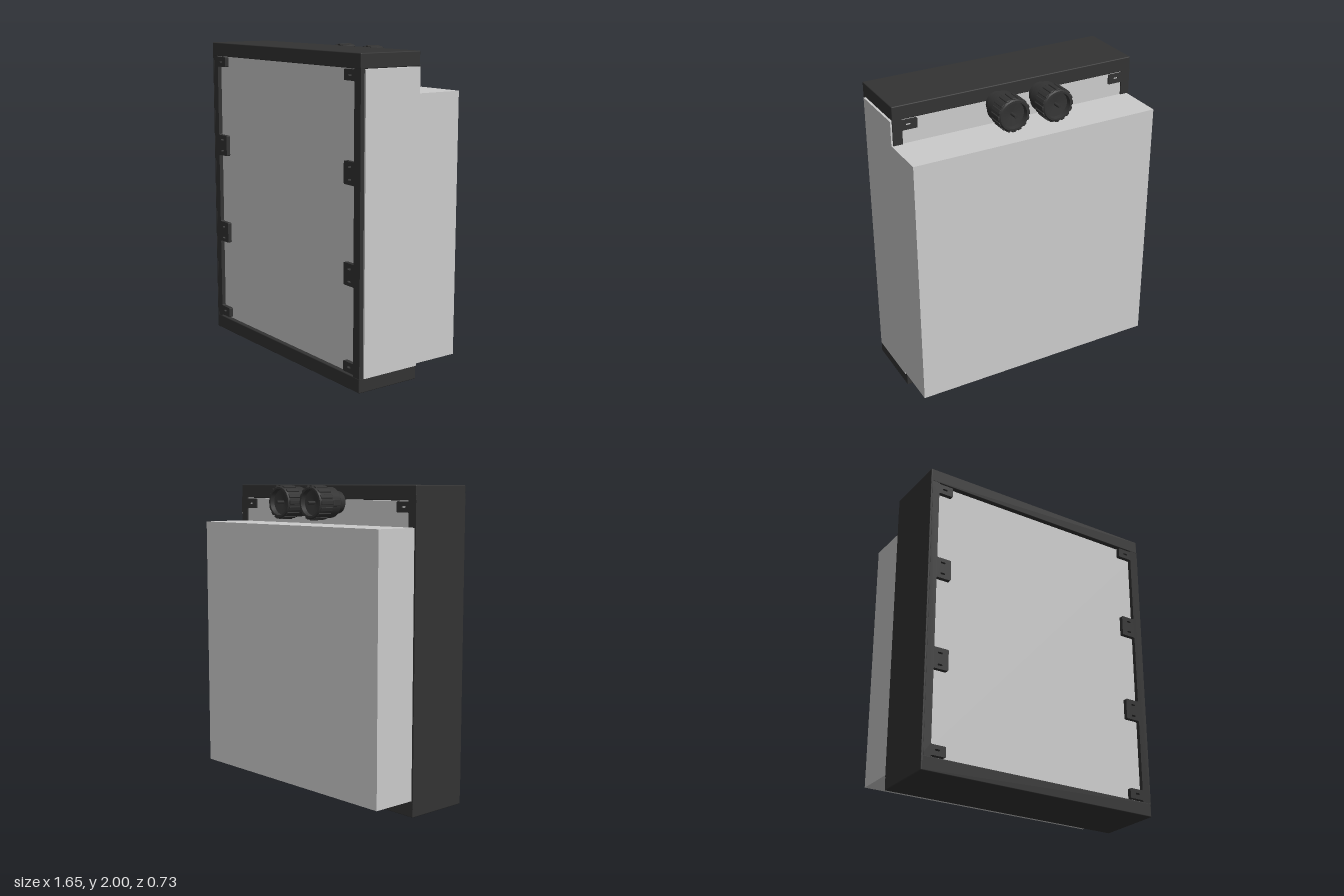
import * as THREE from 'three';
import { RoundedBoxGeometry } from 'three/addons/geometries/RoundedBoxGeometry.js';

const grey = new THREE.MeshStandardMaterial({ color: 0xcccccc });
const dark = new THREE.MeshStandardMaterial({ color: 0x333333 });
const darkOpen = new THREE.MeshStandardMaterial({ color: 0x333333, side: THREE.DoubleSide });

function add(parent, name, geometry, material) {
  const mesh = new THREE.Mesh(geometry, material);
  mesh.name = name;
  parent.add(mesh);
  return mesh;
}

// Box given by its lower and upper corners
function box(parent, name, a, b, material, radius = 0) {
  const size = a.map((v, i) => b[i] - v);
  const geometry = radius ? new RoundedBoxGeometry(...size, 2, radius) : new THREE.BoxGeometry(...size);
  const mesh = add(parent, name, geometry, material);
  mesh.position.set(...a.map((v, i) => (v + b[i]) / 2));
  return mesh;
}

// Closed shape with softened corners
function roundedShape(points, r) {
  const shape = new THREE.Shape();
  const n = points.length;
  points.forEach((p, i) => {
    const prev = points[(i + n - 1) % n], next = points[(i + 1) % n];
    const start = p.clone().add(prev.clone().sub(p).setLength(r));
    const end = p.clone().add(next.clone().sub(p).setLength(r));
    if (i === 0) shape.moveTo(start.x, start.y);
    else shape.lineTo(start.x, start.y);
    shape.quadraticCurveTo(p.x, p.y, end.x, end.y);
  });
  shape.closePath();
  return shape;
}

// Upright mounting strip with slotted tabs; side is -1 or 1
function mountingStrip(side, depth) {
  const outer = 0.822, inner = 0.762, tip = 0.664;
  const tabs = [[0.1, 0.165], [0.635, 0.772], [1.238, 1.376], [1.84, 1.905]];
  const pts = [[outer, 0.08], [outer, 1.92], [inner, 1.92]];
  for (const [lo, hi] of [...tabs].reverse()) pts.push([inner, hi], [tip, hi], [tip, lo], [inner, lo]);
  pts.push([inner, 0.08]);
  const shape = roundedShape(pts.map(([x, y]) => new THREE.Vector2(side * x, y)), 0.007);
  for (const y of [0.135, 0.662, 0.738, 1.27, 1.345, 1.873]) {
    const slot = new THREE.Path();
    const x = side * 0.72, h = 0.006, w = 0.01;
    slot.moveTo(x - w, y - h);
    slot.lineTo(x + w, y - h);
    slot.absarc(x + w, y, h, -Math.PI / 2, Math.PI / 2);
    slot.lineTo(x - w, y + h);
    slot.absarc(x - w, y, h, Math.PI / 2, Math.PI * 1.5);
    shape.holes.push(slot);
  }
  return new THREE.ExtrudeGeometry(shape, { depth, bevelEnabled: false, curveSegments: 5 });
}

function lathe(parent, name, profile) {
  // Each straight run is its own band, so the edges stay sharp
  const group = new THREE.Group();
  group.name = name;
  for (let i = 0; i < profile.length - 1; i++) {
    const run = [profile[i], profile[i + 1]].map(([r, y]) => new THREE.Vector2(r, y));
    add(group, name + 'Band', new THREE.LatheGeometry(run, 40), darkOpen);
  }
  parent.add(group);
}

// Round connector, built along +y and later turned to point backwards
function connector() {
  const g = new THREE.Group();
  g.name = 'connector';
  lathe(g, 'connectorBody', [[0.07, 0], [0.07, 0.035], [0.082, 0.048], [0.096, 0.062], [0.096, 0.135]]);
  lathe(g, 'connectorCap', [[0.09, 0.13], [0.102, 0.13], [0.102, 0.225], [0.094, 0.235],
    [0.082, 0.235], [0.078, 0.205], [0, 0.195]]);
  const ribs = 16;
  for (let i = 0; i < ribs; i++) {
    const a = (i / ribs) * Math.PI * 2;
    const rib = add(g, 'gripRib', new RoundedBoxGeometry(0.026, 0.096, 0.012, 1, 0.004), dark);
    rib.position.set(Math.sin(a) * 0.102, 0.18, Math.cos(a) * 0.102);
    rib.rotation.y = a;
  }
  const pin = add(g, 'centrePin', new THREE.CylinderGeometry(0.01, 0.01, 0.06, 12), dark);
  pin.position.y = 0.22;
  return g;
}

export function createModel() {
  const model = new THREE.Group();
  model.name = 'equipmentEnclosure';

  // Dark chassis: top, bottom and one closed side
  box(model, 'chassisTop', [-0.83, 1.91, -0.07], [0.815, 2, 0.367], dark, 0.006);
  box(model, 'chassisBottom', [-0.83, 0, -0.07], [0.815, 0.09, 0.367], dark, 0.006);
  box(model, 'chassisSide', [-0.83, 0.05, -0.07], [-0.815, 1.95, 0.367], dark, 0.004);

  // Grey body and the deeper housing behind it
  box(model, 'innerBody', [-0.818, 0.088, -0.062], [0.825, 1.908, 0.338], grey);
  box(model, 'rearHousing', [-0.818, 0.103, -0.367], [0.825, 1.753, -0.062], grey);

  // Slotted strips, front and back
  for (const [name, z, depth] of [['frontStrip', 0.339, 0.027], ['rearStrip', -0.07, 0.008]]) {
    for (const side of [-1, 1]) {
      add(model, name, mountingStrip(side, depth), dark).position.set(-0.0075, 0, z);
    }
  }

  // Pair of connectors on the back
  for (const x of [-0.16, 0.137]) {
    const c = connector();
    c.position.set(x, 1.892, -0.07);
    c.rotation.x = -Math.PI / 2;
    model.add(c);
  }
  // Latch on the side of one connector
  box(model, 'connectorLatch', [-0.263, 1.87, -0.2], [-0.235, 1.915, -0.14], dark, 0.006);

  return model;
}
